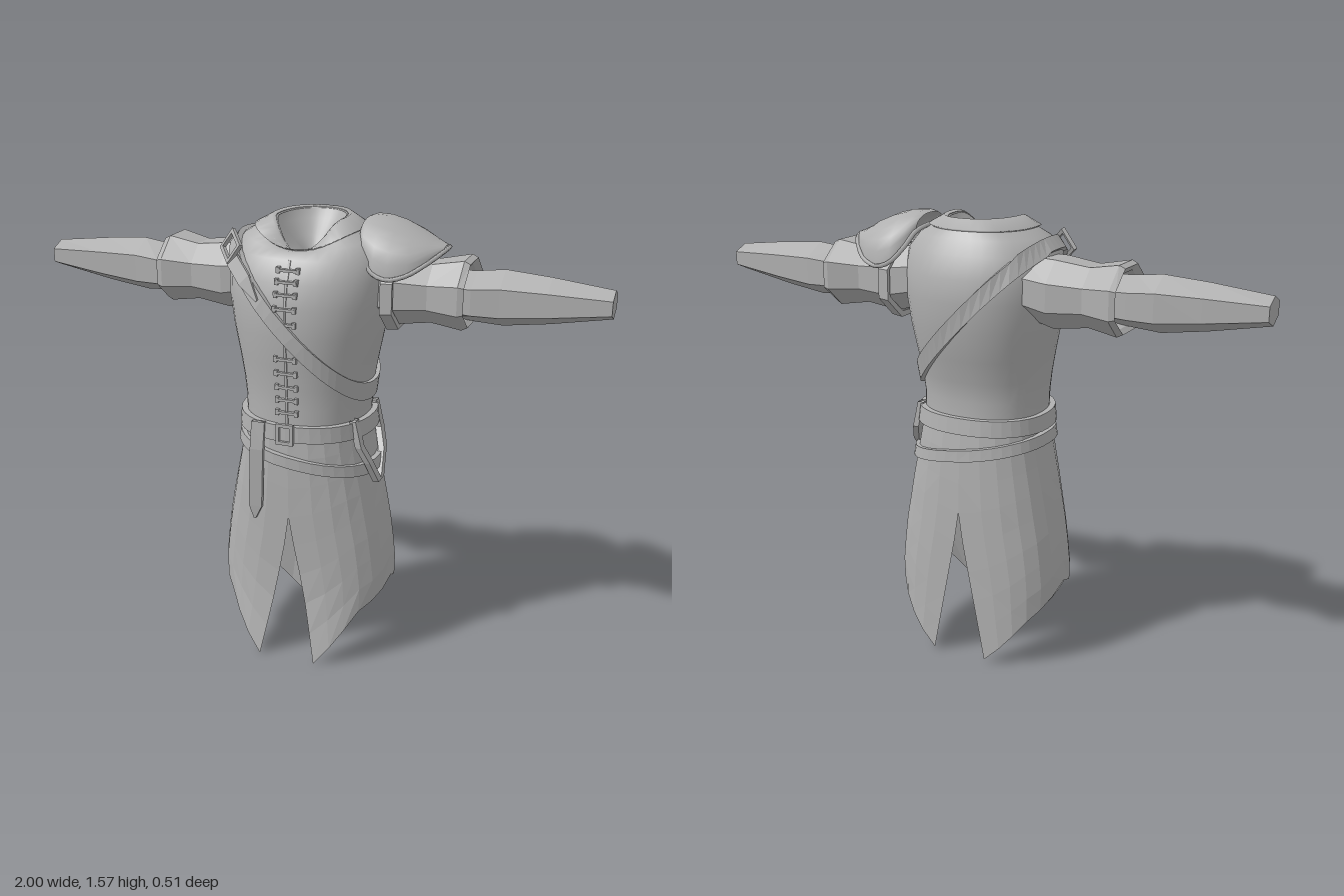
import * as THREE from 'three';

const V = (x, y, z) => new THREE.Vector3(x, y, z);
const cloth = new THREE.MeshStandardMaterial({ color: 0xb0b0b0, side: THREE.DoubleSide });
cloth.name = 'plain grey cloth';

// Body cross-sections: [height, half width, front z, back z, dip at the throat]
const BODY = [
  [0.66, 0.255, 0.222, -0.208, 0], [0.78, 0.232, 0.225, -0.2, 0], [0.88, 0.215, 0.222, -0.185, 0],
  [0.95, 0.217, 0.22, -0.18, 0], [1.02, 0.225, 0.222, -0.19, 0], [1.1, 0.238, 0.23, -0.215, 0],
  [1.2, 0.257, 0.24, -0.238, 0], [1.3, 0.272, 0.238, -0.248, 0], [1.38, 0.277, 0.22, -0.242, 0],
  [1.45, 0.265, 0.188, -0.218, 0], [1.5, 0.225, 0.155, -0.19, 0.03], [1.54, 0.15, 0.13, -0.165, 0.07],
  [1.56, 0.115, 0.1, -0.15, 0.105]];
// Skirt cross-sections: [height, half width, front z, back z]
const SKIRT = [
  [0, 0.295, 0.25, -0.21], [0.2, 0.305, 0.218, -0.21], [0.3, 0.312, 0.212, -0.21],
  [0.45, 0.296, 0.215, -0.21], [0.6, 0.268, 0.22, -0.208], [0.78, 0.229, 0.222, -0.198], [0.88, 0.212, 0.218, -0.185]];
const HEM = [[0, 0], [0.25, 0.2], [0.5, 0.28], [0.75, 0.17], [1, 0.01]];

function lookup(table, t) {
  let i = 0;
  while (i < table.length - 2 && t > table[i + 1][0]) i++;
  const a = table[i], b = table[i + 1];
  const k = THREE.MathUtils.clamp((t - a[0]) / (b[0] - a[0]), 0, 1);
  return a.map((v, n) => v + (b[n] - v) * k);
}
const pow = (v, p) => Math.sign(v) * Math.abs(v) ** p;

// Point on the body at an angle (0 = front, towards +x), pushed out by off
function onBody(a, t, off = 0) {
  const [, w, f, b, dip] = lookup(BODY, t), c = Math.cos(a);
  const y = t - dip * Math.max(0, c) ** 3 + (t > 1.45 ? off * 0.7 : 0);
  return V((w + off) * pow(Math.sin(a), 0.9), y, (c > 0 ? f + off : off - b) * pow(c, 0.9));
}

// Skin between rings of points
function loft(rings, { closed = true, flat = false, flip = false } = {}) {
  const n = rings[0].length, idx = [], pos = rings.flat().flatMap(p => [p.x, p.y, p.z]);
  for (let i = 0; i < rings.length - 1; i++)
    for (let j = 0; j < (closed ? n : n - 1); j++) {
      const k = (j + 1) % n, a = i * n + j, b = i * n + k, c = a + n, d = b + n;
      idx.push(...(flip ? [a, d, b, a, c, d] : [a, b, d, a, d, c]));
    }
  let g = new THREE.BufferGeometry();
  g.setAttribute('position', new THREE.Float32BufferAttribute(pos, 3));
  g.setIndex(idx);
  if (flat) g = g.toNonIndexed();
  g.computeVertexNormals();
  return g;
}
const angles = n => Array.from({ length: n }, (_, i) => (i / n) * Math.PI * 2);

// Closed band round the body; at(angle, side, off) gives its lower and upper edges
function band(at, thick, n = 40) {
  const rings = angles(n).map(a => [at(a, -1, -0.01), at(a, -1, thick), at(a, 1, thick), at(a, 1, -0.01)]);
  return loft([...rings, rings[0]], { flat: true });
}

// Flat strip following points, widened along a fixed direction
function strip(points, wide, out, tip = true) {
  const rings = points.map((p, i) => {
    const w = wide.clone().multiplyScalar(tip && i === points.length - 1 ? 0.15 : 1);
    const q = p.clone().add(out);
    return [p.clone().sub(w), q.clone().sub(w), q.clone().add(w), p.clone().add(w)];
  });
  return loft([...rings, rings[rings.length - 1].map(() => points[points.length - 1])], { flat: true });
}

// Tube along x: rows of [x, low y, high y, back z, front z]
function limb(rows, sides, s) {
  const rings = rows.map(([x, y0, y1, z0, z1]) => angles(sides).map(a => {
    const t = a + Math.PI / sides, k = 1 / Math.cos(Math.PI / sides);
    return V(s * x, (y0 + y1) / 2 + Math.sin(t) * (y1 - y0) / 2 * (sides === 8 ? k : 1.1),
      (z0 + z1) / 2 + Math.cos(t) * (z1 - z0) / 2 * k);
  }));
  return loft(rings, { flat: true, flip: s > 0 });
}

export function createModel() {
  const model = new THREE.Group();
  const add = (name, geo, parent = model) => {
    const m = new THREE.Mesh(geo, cloth);
    m.name = name;
    parent.add(m);
    return m;
  };

  // Tunic body
  const ring = (t, off) => angles(40).map(a => onBody(a, t, off));
  const heights = BODY.slice(2).map(r => r[0]);
  add('tunic', loft(heights.map(t => ring(t))));

  // Collar and the lining inside the neck
  add('collar', loft([ring(1.525, 0), ring(1.525, 0.01), ring(1.558, 0.01), ring(1.56, -0.006)]));
  const inner = k => ring(1.56).map(p => V(p.x * k, 1.42 + (p.y - 1.42) * (k - 0.1), -0.02 + (p.z + 0.02) * k));
  add('neckLining', loft([ring(1.56), inner(0.85), inner(0.5), inner(0.001)]));

  // Sleeves and forearms
  for (const s of [1, -1]) {
    const side = s > 0 ? 'left' : 'right';
    add(side + 'Sleeve', limb([
      [0.18, 1.25, 1.45, -0.16, 0.07], [0.3, 1.22, 1.445, -0.17, 0.08], [0.42, 1.235, 1.43, -0.155, 0.06],
      [0.525, 1.22, 1.45, -0.19, 0.08], [0.545, 1.23, 1.44, -0.185, 0.075], [0.53, 1.245, 1.42, -0.165, 0.055],
      [0.47, 1.26, 1.4, -0.13, 0.03]], 8, s));
    add(side + 'Forearm', limb([
      [0.45, 1.26, 1.4, -0.13, 0.04], [0.56, 1.25, 1.405, -0.135, 0.045], [0.65, 1.245, 1.415, -0.135, 0.035],
      [0.8, 1.265, 1.405, -0.12, 0.025], [1, 1.3, 1.385, -0.1, 0.01], [1, 1.342, 1.343, -0.046, -0.045]], 6, s));
  }

  // Skirt halves, split at front and back
  const skirtPoint = (s, u, v) => {
    const hem = lookup(HEM, u)[1], y = hem + (0.88 - hem) * v;
    const [, w, f, b] = lookup(SKIRT, y), a = u * Math.PI, c = Math.cos(a);
    const gap = Math.max(0, 0.53 - y) * 0.195;
    return V(s * (gap + (w - gap) * Math.sin(a) ** 0.85), y, (c > 0 ? f : -b) * pow(c, 0.8));
  };
  for (const s of [1, -1]) {
    const rows = Array.from({ length: 9 }, (_, i) =>
      Array.from({ length: 13 }, (_, j) => skirtPoint(s, j / 12, i / 8)));
    add(s > 0 ? 'skirtLeft' : 'skirtRight', loft(rows, { closed: false, flat: true, flip: s < 0 }));
  }

  // Waist belts
  add('belt', band((a, e, off) => onBody(a, 0.87 + e * 0.028, off), 0.02));
  add('lowBelt', band((a, e, off) => onBody(a, 0.765 - 0.045 * Math.sin(a) + e * 0.02, off), 0.016));

  // Diagonal strap from right shoulder to left waist
  const strapPoint = (a, e, off) => {
    let lo = 0.88, hi = 1.54;
    for (let i = 0; i < 24; i++) {
      const mid = (lo + hi) / 2, p = onBody(a, mid);
      if (p.y + 1.05 * p.x < 1.22 + e * 0.036) lo = mid; else hi = mid;
    }
    return onBody(a, lo, off);
  };
  add('shoulderStrap', band(strapPoint, 0.014, 56));

  // Buckle frames
  const frame = (name, w, h, r) => {
    const g = new THREE.Group();
    g.name = name;
    for (const s of [-1, 1]) {
      add('buckleSide', new THREE.BoxGeometry(r, h, r), g).position.x = s * w / 2;
      add('buckleBar', new THREE.BoxGeometry(w + r, r, r), g).position.y = s * h / 2;
    }
    model.add(g);
    return g;
  };
  frame('beltBuckle', 0.05, 0.062, 0.012).position.set(0, 0.87, 0.246);
  const strapBuckle = frame('strapBuckle', 0.07, 0.08, 0.013);
  strapBuckle.position.copy(strapPoint(-0.95, 0, 0.018));
  strapBuckle.rotation.set(-0.5, -0.6, 0.78);
  add('strapEnd', strip([V(-0.21, 1.43, 0.165), V(-0.15, 1.38, 0.21), V(-0.095, 1.32, 0.235)],
    V(0.018, 0.018, 0), V(0, 0, 0.012)));

  // Hanging belt end and side loops
  add('beltEnd', strip([V(-0.1, 0.9, 0.225), V(-0.105, 0.8, 0.232), V(-0.12, 0.58, 0.215), V(-0.125, 0.53, 0.21)],
    V(0.024, 0, 0), V(0, 0, 0.014)));
  for (const [z, end] of [[0.12, 0.06], [-0.1, 0.035]])
    add('sideLoop', strip([V(0.19, 0.905, z), V(0.212, 0.81, z), V(0.238, 0.75, (z * 2 + end) / 3), V(0.258, 0.67, end)],
      V(0, 0, 0.017), V(0.022, 0, 0), false));

  // Front lacing
  for (const y of [0.94, 0.985, 1.03, 1.08, 1.13, 1.25, 1.3, 1.345, 1.385, 1.42]) {
    const z = onBody(0, y).z + 0.004;
    add('lace', new THREE.BoxGeometry(0.075, 0.009, 0.014)).position.set(0, y, z);
    for (const s of [-1, 1])
      add('laceKnot', new THREE.BoxGeometry(0.012, 0.02, 0.016)).position.set(s * 0.034, y, z - 0.002);
  }
  const seam = [0.9, 1.1, 1.2, 1.3, 1.38, 1.45].map(y => onBody(0, y));
  add('frontSeam', strip(seam, V(0.004, 0, 0), V(0, 0, 0.004), false));

  // Shoulder plate on the left: [x, top, edge height, back z, front z]
  const plate = [[0.185, 1.56, 1.51, -0.15, 0.04], [0.205, 1.568, 1.46, -0.2, 0.085], [0.25, 1.566, 1.41, -0.225, 0.11],
    [0.3, 1.553, 1.395, -0.228, 0.115], [0.36, 1.528, 1.41, -0.205, 0.1], [0.41, 1.5, 1.44, -0.16, 0.06],
    [0.45, 1.483, 1.47, -0.1, -0.02]];
  const arcs = plate.map(([x, top, low, z0, z1]) => Array.from({ length: 13 }, (_, i) => {
    const t = (i / 12) * Math.PI;
    return V(x, low + (top - low) * Math.sin(t) ** 0.9, (z0 + z1) / 2 + (z1 - z0) / 2 * pow(Math.cos(t), 0.9));
  }));
  add('shoulderPlate', loft(arcs, { closed: false, flip: true }));
  const rim = [...arcs.map(r => r[0]), ...arcs.map(r => r[12]).reverse()];
  add('shoulderPlateRim', new THREE.TubeGeometry(new THREE.CatmullRomCurve3(rim, true), 48, 0.008, 5, true));

  // Arm band holding the shoulder plate
  add('armBand', limb([[0.275, 1.22, 1.44, -0.18, 0.09], [0.275, 1.2, 1.45, -0.195, 0.1],
    [0.315, 1.205, 1.45, -0.19, 0.098], [0.315, 1.225, 1.44, -0.175, 0.085]], 8, 1));
  return model;
}
